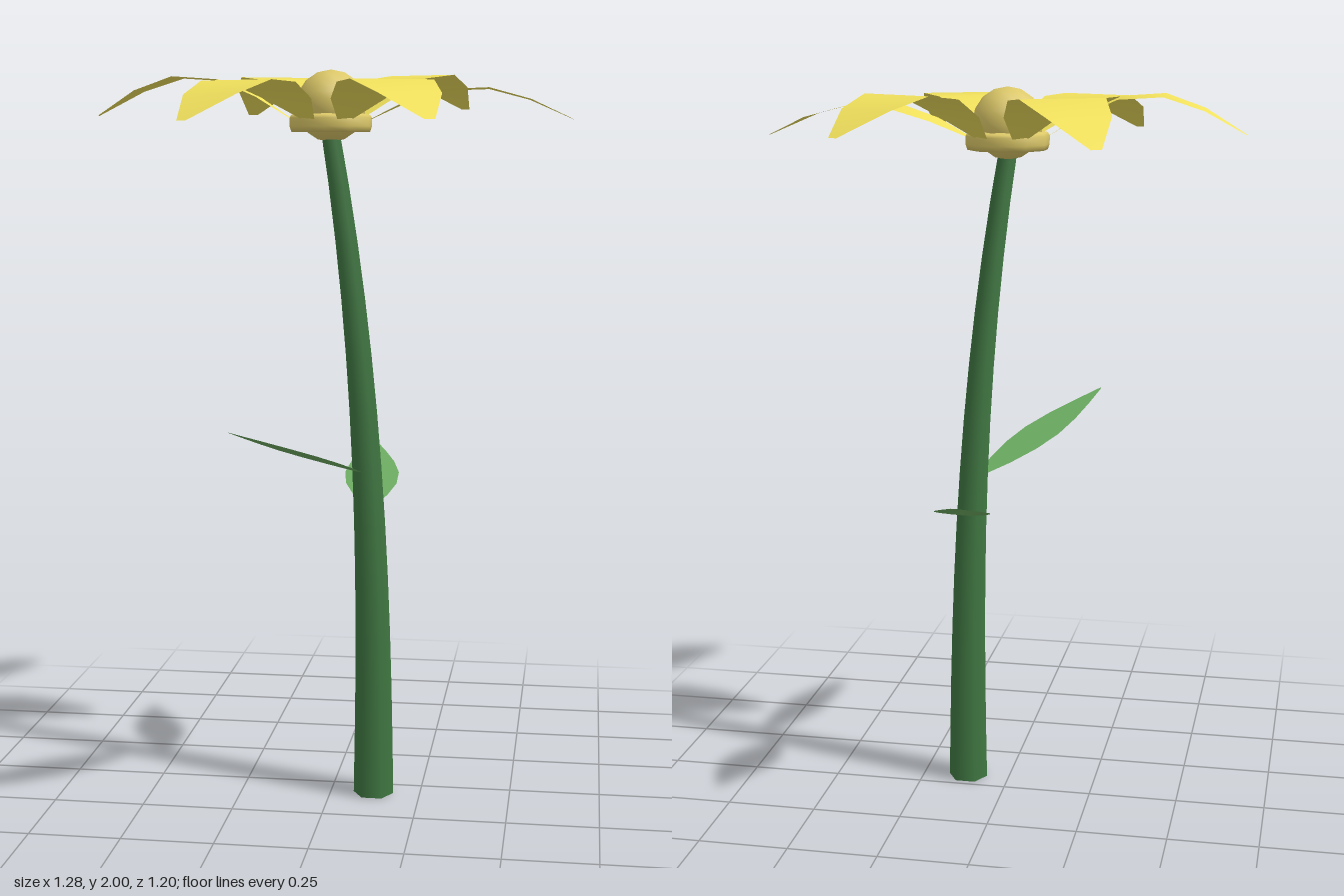
import * as THREE from 'three';

const V = (x, y, z) => new THREE.Vector3(x, y, z);
const mat = (color, side = THREE.FrontSide) => new THREE.MeshStandardMaterial({ color, side });

const PETAL = mat(0xf0e05c, THREE.DoubleSide);
const HEART = mat(0xdcc868);
const RIM = mat(0xdcc868, THREE.DoubleSide);
const STEM = mat(0x407842);
const LEAF = mat(0x6cac62, THREE.DoubleSide);

// Thin blade: a row of centres, each widened to both sides horizontally
function blade(centres, halfWidths, material, name) {
  const dir = centres.at(-1).clone().sub(centres[0]);
  const side = V(0, 1, 0).cross(dir).normalize();
  const pos = [], index = [];
  centres.forEach((c, i) => {
    const l = c.clone().addScaledVector(side, halfWidths[i]);
    const r = c.clone().addScaledVector(side, -halfWidths[i]);
    pos.push(...l.toArray(), ...r.toArray());
    if (i > 0) {
      const a = 2 * i - 2;
      index.push(a + 1, a + 3, a, a + 3, a + 2, a);
    }
  });
  const g = new THREE.BufferGeometry();
  g.setAttribute('position', new THREE.Float32BufferAttribute(pos, 3));
  g.setIndex(index);
  g.computeVertexNormals();
  const m = new THREE.Mesh(g, material);
  m.name = name;
  return m;
}

// Six-sided tapering stem, bent by moving its rings along a curve
function makeStem() {
  const h = 1.85;
  const g = new THREE.CylinderGeometry(0.025, 0.056, h, 6, 12);
  g.rotateY(Math.PI / 2).translate(0, h / 2, 0);
  const p = g.attributes.position;
  for (let i = 0; i < p.count; i++) {
    // clamped, as rounding can put the lowest ring just below zero
    const t = THREE.MathUtils.clamp(p.getY(i) / h, 0, 1);
    p.setXYZ(i,
      p.getX(i) + 0.12 - 0.133 * Math.pow(t, 2.5),
      t * h,
      p.getZ(i) + 0.067 - 0.062 * Math.pow(t, 1.8));
  }
  const m = new THREE.Mesh(g, STEM);
  m.name = 'stem';
  return m;
}

function makeLeaf(base, tip, width, name) {
  const widths = [0.12, 0.62, 0.93, 1, 0.8, 0.45, 0.04];
  const centres = widths.map((_, i) => base.clone().lerp(tip, i / (widths.length - 1)));
  return blade(centres, widths.map(w => w * width), LEAF, name);
}

// Arched petal: narrow root, broad middle, blunt tip
function makePetal([degrees, length, peak, tip]) {
  const root = 0.1, rootY = 1.865, a = THREE.MathUtils.degToRad(degrees);
  const ts = [0, 0.18, 0.37, 0.59, 0.79, 1];
  const centres = ts.map(t => {
    const d = THREE.MathUtils.lerp(root, length, t);
    const arch = (peak - (rootY + tip) / 2) * Math.sin(Math.PI * t);
    return V(d * Math.cos(a), THREE.MathUtils.lerp(rootY, tip, t) + arch, -d * Math.sin(a));
  });
  return blade(centres, [0.018, 0.076, 0.1, 0.112, 0.084, 0.014], PETAL, 'petal');
}

export function createModel() {
  const model = new THREE.Group();
  model.name = 'flower';
  model.add(makeStem());
  model.add(makeLeaf(V(0.085, 0.915, 0.07), V(-0.2, 1.09, 0.5), 0.066, 'frontLeaf'));
  model.add(makeLeaf(V(0.1, 0.81, 0.015), V(0.07, 0.935, -0.355), 0.077, 'backLeaf'));

  const head = new THREE.Group();
  head.name = 'flowerHead';
  head.position.set(-0.01, 0, 0);
  model.add(head);

  // Round heart
  const heart = new THREE.Mesh(new THREE.SphereGeometry(0.096, 10, 8), HEART);
  heart.position.y = 1.904;
  heart.name = 'heart';
  head.add(heart);

  // Collar around the heart
  const profile = [[0.06, 1.835], [0.108, 1.835], [0.113, 1.85], [0.113, 1.872], [0.108, 1.88], [0.09, 1.884]];
  const collar = new THREE.Mesh(
    new THREE.LatheGeometry(profile.map(([x, y]) => new THREE.Vector2(x, y)), 10), RIM);
  collar.name = 'collar';
  head.add(collar);

  // Petals: angle, length, height of arch, height of tip
  [
    [3, 0.65, 1.953, 1.868],
    [59.3, 0.637, 1.995, 1.9],
    [118.4, 0.677, 1.993, 1.885],
    [184, 0.632, 1.983, 1.878],
    [242.7, 0.628, 1.968, 1.862],
    [298.4, 0.67, 1.968, 1.865],
  ].forEach(p => head.add(makePetal(p)));

  return model;
}
